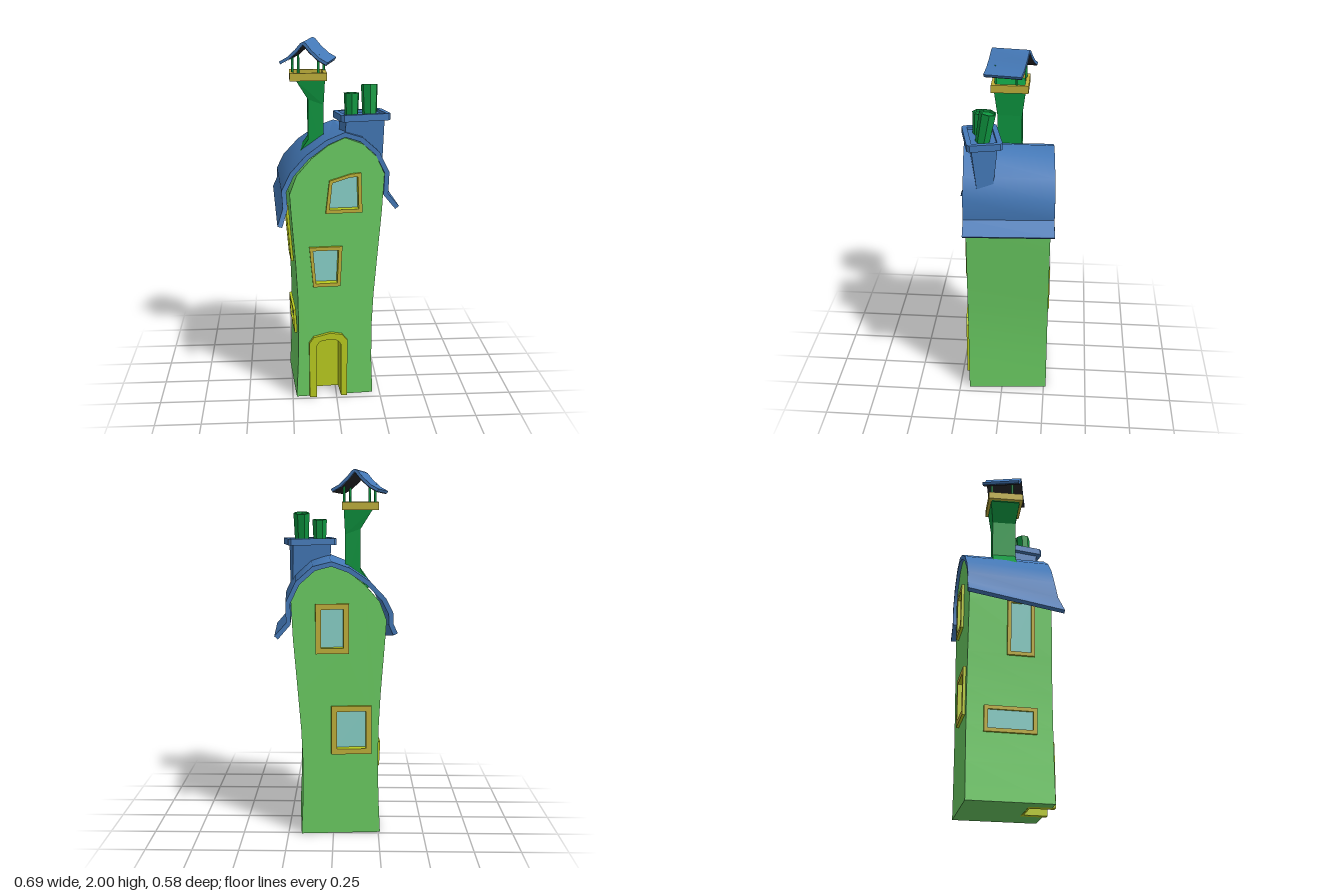
import * as THREE from 'three';
import { toCreasedNormals } from 'three/addons/utils/BufferGeometryUtils.js';

const mat = (name, color, side = THREE.FrontSide) =>
  Object.assign(new THREE.MeshStandardMaterial({ color, side }), { name });

const V = (pts) => pts.map(([x, y]) => new THREE.Vector2(x, y));
const withZ = (pts, z) => pts.map(([x, y]) => [x, y, z]);

// geometry from a list of quads, each with four counter-clockwise corners
function quads(list, crease = 0.6) {
  const pos = list.flatMap(([a, b, c, d]) => [...a, ...b, ...c, ...a, ...c, ...d]);
  const g = new THREE.BufferGeometry();
  g.setAttribute('position', new THREE.Float32BufferAttribute(pos, 3));
  return toCreasedNormals(g, crease);
}

// strip between a front and a back profile, both running left to right
const strip = (A, B) => A.slice(1).map((p, i) => [A[i], p, B[i + 1], B[i]]);

// the profile pushed inwards by t
function inset(P, t) {
  return P.map(([x, y, z], i) => {
    const a = P[Math.max(i - 1, 0)], b = P[Math.min(i + 1, P.length - 1)];
    const dx = b[0] - a[0], dy = b[1] - a[1], l = Math.hypot(dx, dy);
    return [x + (dy / l) * t, y - (dx / l) * t, z];
  });
}

// roof shell of thickness t between two profiles
function shell(A, B, t) {
  const a = inset(A, t), b = inset(B, t), n = A.length - 1;
  const list = [...strip(A, B), ...strip(b, a)];
  for (let i = 0; i < n; i++) {
    list.push([A[i], a[i], a[i + 1], A[i + 1]], [B[i], B[i + 1], b[i + 1], b[i]]);
  }
  list.push([A[0], B[0], b[0], a[0]], [A[n], a[n], b[n], B[n]]);
  return quads(list);
}

function ring(outer, inner, depth) {
  const s = new THREE.Shape(V(outer));
  if (inner) s.holes.push(new THREE.Path(V(inner)));
  return new THREE.ExtrudeGeometry(s, { depth, bevelEnabled: false });
}

// polygon shrunk towards its middle by about w on each side
function shrink(pts, w) {
  const xs = pts.map((p) => p[0]), ys = pts.map((p) => p[1]);
  const x0 = Math.min(...xs), x1 = Math.max(...xs), y0 = Math.min(...ys), y1 = Math.max(...ys);
  const cx = (x0 + x1) / 2, cy = (y0 + y1) / 2;
  return pts.map(([x, y]) => [cx + (x - cx) * (1 - 2 * w / (x1 - x0)), cy + (y - cy) * (1 - 2 * w / (y1 - y0))]);
}

const rect = (x0, y0, x1, y1) => [[x0, y0], [x1, y0], [x1, y1], [x0, y1]];

export function createModel() {
  const model = new THREE.Group();
  const green = mat('wall green', 0x6acb62);
  const blue = mat('roof blue', 0x4479b8);
  const yellow = mat('door yellow', 0xb8ca20);
  const gold = mat('frame gold', 0xc0b03a);
  const glass = mat('glass blue', 0x88d0c8);
  const leaf = mat('chimney green', 0x0e9640);
  const dark = mat('underside dark', 0x262628, THREE.DoubleSide);

  const add = (parent, name, geo, material, x = 0, y = 0, z = 0) => {
    const m = new THREE.Mesh(geo, material);
    m.name = name;
    m.position.set(x, y, z);
    parent.add(m);
    return m;
  };
  const group = (parent, name, x = 0, y = 0, z = 0, ry = 0) => {
    const g = new THREE.Group();
    g.name = name;
    g.position.set(x, y, z);
    g.rotation.y = ry;
    parent.add(g);
    return g;
  };

  // house body, turned a little on its plot
  const house = group(model, 'house', 0, 0, 0, 0.07);
  const zF = 0.208, zB = -0.25;
  const wall = [[0.195, 0], [0.187, 0.2], [0.185, 0.4], [0.194, 0.6], [0.21, 0.8], [0.235, 1.1], [0.245, 1.3],
    [0.2, 1.395], [0.125, 1.465], [0.03, 1.5], [-0.06, 1.46], [-0.15, 1.39], [-0.23, 1.3], [-0.268, 1.2],
    [-0.262, 1.1], [-0.24, 0.8], [-0.23, 0.6], [-0.228, 0.4], [-0.233, 0.2], [-0.243, 0]];
  const doorHole = [[-0.15, 0], [-0.15, 0.33], [-0.125, 0.357], [-0.05, 0.37], [0, 0.36], [0.025, 0.33], [0.025, 0]];
  const sides = [...wall].reverse();
  add(house, 'sideWalls', quads(strip(withZ(sides, zF), withZ(sides, zB))), green);

  // floor with a notch for the doorway
  const floor = new THREE.ShapeGeometry(new THREE.Shape(V([[-0.243, zB], [0.195, zB], [0.195, zF],
    [0.045, zF], [0.045, 0.088], [-0.17, 0.088], [-0.17, zF], [-0.243, zF]])));
  add(house, 'floor', floor.rotateX(Math.PI / 2), green);

  // window: a frame standing out of the wall and a pane set into it
  function addWindow(parent, name, pts, w, sunk) {
    const g = group(parent, name), inner = shrink(pts, w);
    add(g, 'frame', ring(pts, inner, sunk + 0.015), [gold, yellow], 0, 0, -sunk);
    add(g, 'pane', new THREE.ShapeGeometry(new THREE.Shape(V(inner))), glass, 0, 0, 0.004 - sunk);
    return g;
  }
  function addWall(name, outline, windows, w, z, ry) {
    const g = group(house, name, 0, 0, z, ry);
    const s = new THREE.Shape(V(outline));
    windows.forEach((pts, i) => {
      s.holes.push(new THREE.Path(V(shrink(pts, w / 2))));
      addWindow(g, `${name}Window${i + 1}`, pts, w, 0.03);
    });
    add(g, `${name}Surface`, new THREE.ShapeGeometry(s), green);
    return g;
  }
  const front = addWall('frontWall', [...wall, ...doorHole], [
    [[-0.145, 0.67], [0.006, 0.67], [0.016, 0.9], [-0.165, 0.9]],
    [[-0.075, 1.09], [0.125, 1.09], [0.117, 1.31], [0.06, 1.305], [-0.055, 1.27]],
  ], 0.02, zF, 0);
  addWall('backWall', wall.map(([x, y]) => [-x, y]),
    [rect(-0.03, 0.46, 0.19, 0.73), rect(-0.115, 1.02, 0.065, 1.29)], 0.03, zB, Math.PI);

  // windows on the left-hand wall of the front view
  [[-0.16, 0.36, 0.12, 0.5, -0.229, 0.04], [-0.04, 0.79, 0.11, 1.11, -0.252, 0.08]].forEach(([z0, y0, z1, y1, x, tilt], i) => {
    const h = (y1 - y0) / 2;
    const g = group(house, `sideWindow${i + 1}`, x - 0.003, y0 + h, 0, -Math.PI / 2);
    g.rotation.order = 'YXZ';
    g.rotation.x = tilt;
    addWindow(g, 'window', rect(z0, -h, z1, h), 0.02, 0);
  });

  // arched doorway with the door set deep inside
  const arch = [[-0.17, 0], [-0.17, 0.335], [-0.145, 0.37], [-0.05, 0.392], [0.015, 0.38], [0.045, 0.345], [0.045, 0]];
  const opening = [[0.01, 0], [0.01, 0.32], [-0.01, 0.345], [-0.05, 0.355], [-0.11, 0.345], [-0.13, 0.315], [-0.13, 0]];
  add(front, 'doorFrame', ring([...arch, ...opening], null, 0.14), yellow, 0, 0, -0.12);
  add(front, 'door', ring([...opening].reverse(), null, 0.01), yellow, 0, 0, -0.118);

  // curved main roof with flared eaves
  const roofFront = [[-0.32, 1.04, 0.285], [-0.29, 1.13, 0.255], [-0.296, 1.22, 0.236], [-0.25, 1.315, 0.23],
    [-0.165, 1.41, 0.228], [-0.055, 1.49, 0.222], [0.045, 1.53, 0.213], [0.14, 1.5, 0.206],
    [0.23, 1.42, 0.2], [0.285, 1.31, 0.2], [0.28, 1.19, 0.2], [0.34, 1.12, 0.2]];
  const roofBack = [[-0.345, 1.13], [-0.322, 1.18], [-0.32, 1.24], [-0.28, 1.32], [-0.195, 1.41], [-0.09, 1.48],
    [0.01, 1.515], [0.11, 1.49], [0.2, 1.41], [0.254, 1.3], [0.252, 1.19], [0.315, 1.12]]
    .map(([x, y]) => [x, y, -0.268 - 0.07 * x]);
  add(model, 'mainRoof', shell(roofFront, roofBack, 0.026), blue);

  // broad chimney with two pots
  const stack = group(model, 'broadChimney', 0.14, 0, 0.107, 0.215);
  const shaft = new THREE.BoxGeometry(0.215, 0.35, 0.14);
  const p = shaft.attributes.position;
  for (let i = 0; i < p.count; i++) if (p.getY(i) < 0) p.setZ(i, p.getZ(i) * 0.45);
  shaft.computeVertexNormals();
  add(stack, 'stack', shaft, blue, 0, 1.425, 0);
  const W = 0.137, D = 0.093, c = 0.014;
  const cap = [[-W + c, -D], [W - c, -D], [W, -D + c], [W, D - c], [W - c, D], [-W + c, D], [-W, D - c], [-W, -D + c]];
  const hole = rect(-0.112, -0.066, 0.112, 0.066);
  add(stack, 'capRim', ring(cap, hole, 0.036).rotateX(-Math.PI / 2), blue, 0, 1.585, 0);
  add(stack, 'capTray', ring(hole, null, 0.02).rotateX(-Math.PI / 2), blue, 0, 1.586, 0);
  for (const [x, z, r, top, lean] of [[0.085, 0.125, 0.042, 1.725, -0.05], [0.185, 0.1, 0.046, 1.765, -0.18]]) {
    const h = top - 1.59;
    const pot = new THREE.LatheGeometry(V([[r * 0.85, 0], [r, h], [r * 0.82, h], [r * 0.82, h - 0.012], [0, h - 0.012]]), 7);
    add(model, 'chimneyPot', toCreasedNormals(pot, 0.3), leaf, x, 1.59, z).rotation.x = lean;
  }

  // slim chimney, wider at the top and kicked out at the foot
  const slim = group(model, 'slimChimney', 0, 0, -0.025);
  const stem = [[-0.06, 1.36], [-0.06, 1.65], [-0.053, 1.785], [-0.21, 1.785], [-0.145, 1.68], [-0.145, 1.46], [-0.215, 1.36]];
  const stemGeo = ring(stem, null, 0.14);
  stemGeo.translate(0, 0, -0.07);
  const sp = stemGeo.attributes.position;
  for (let i = 0; i < sp.count; i++) sp.setZ(i, sp.getZ(i) * (sp.getY(i) > 1.7 ? 1.2 : 0.95));
  stemGeo.computeVertexNormals();
  add(slim, 'stem', stemGeo, leaf);
  const tray = rect(-0.08, -0.08, 0.08, 0.08);
  add(slim, 'collar', ring(rect(-0.1, -0.1, 0.1, 0.1), tray, 0.042).rotateX(-Math.PI / 2), gold, -0.143, 1.782, 0);
  add(slim, 'tray', ring(tray, null, 0.02).rotateX(-Math.PI / 2), leaf, -0.143, 1.784, 0);

  // little roof on four posts
  const hat = group(slim, 'littleRoof', -0.14, 0, 0, -0.285);
  for (const x of [-0.072, 0.072]) for (const z of [-0.06, 0.06]) {
    add(hat, 'post', new THREE.CylinderGeometry(0.007, 0.007, 0.12, 6), leaf, x, 1.86, z);
  }
  const slope = [[-0.133, 1.882], [-0.09, 1.905], [-0.045, 1.945], [-0.015, 1.98], [0, 1.988],
    [0.015, 1.98], [0.045, 1.945], [0.09, 1.905], [0.133, 1.882]];
  const hatF = withZ(slope, 0.106), hatB = slope.map(([x, y]) => [x, y + 0.01, -0.106]);
  add(hat, 'hatShell', shell(hatF, hatB, 0.016), blue);
  add(hat, 'hatUnderside', quads(strip(inset(hatF, 0.019), inset(hatB, 0.019))), dark);

  return model;
}
